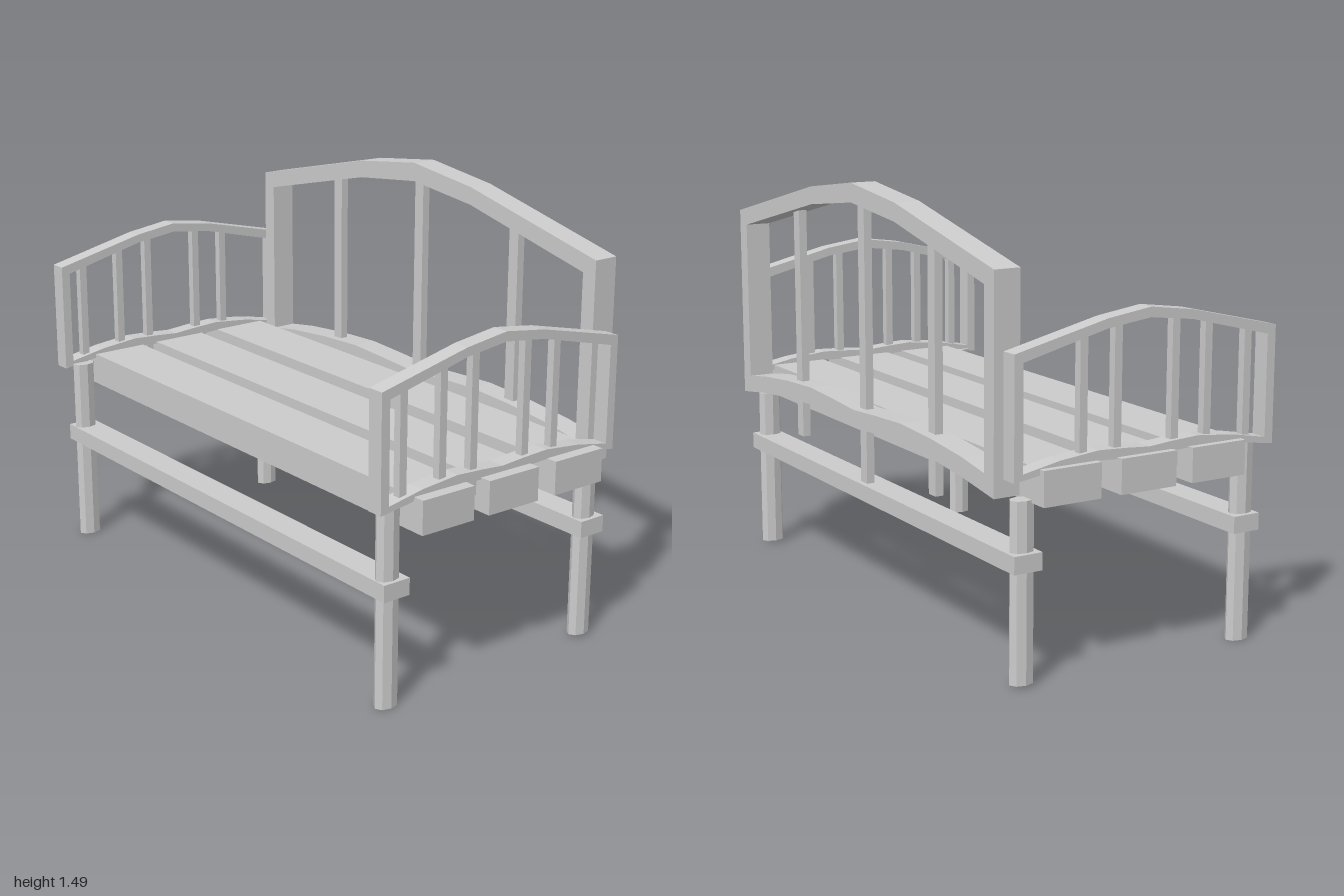
import * as THREE from 'three';

const material = new THREE.MeshStandardMaterial({ color: 0xcccccc, flatShading: true });

function add(parent, name, geometry, x = 0, y = 0, z = 0) {
  const mesh = new THREE.Mesh(geometry, material);
  mesh.name = name;
  mesh.position.set(x, y, z);
  parent.add(mesh);
}

// Box given by its limits on each axis
function box(parent, name, [x0, x1], [y0, y1], [z0, z1]) {
  add(parent, name, new THREE.BoxGeometry(x1 - x0, y1 - y0, z1 - z0),
    (x0 + x1) / 2, (y0 + y1) / 2, (z0 + z1) / 2);
}

// Half profiles [offset, y] run from the centre outwards; mirror them into a
// closed counter-clockwise outline, so that holes get inward-facing walls
function outline(top, bottom) {
  const right = [...bottom, ...top.slice().reverse()];
  const left = right.slice(1, -1).reverse().map(([x, y]) => [-x, y]);
  return [...right, ...left].map(([x, y]) => new THREE.Vector2(x, y));
}

// Arched frame with a wavy lower rail, centred on its depth
function frameGeometry(outer, inner, depth) {
  const shape = new THREE.Shape(outline(...outer));
  shape.holes.push(new THREE.Path(outline(...inner)));
  return new THREE.ExtrudeGeometry(shape, { depth, bevelEnabled: false }).translate(0, 0, -depth / 2);
}

export function createModel() {
  const bench = new THREE.Group();
  bench.name = 'bench';

  // Seat planks
  for (const z of [0.275, 0.002, -0.283]) {
    box(bench, 'seatPlank', [-1, 1], [0.59, 0.705], [z - 0.105, z + 0.105]);
  }

  // Octagonal legs, slightly deeper than wide
  for (const x of [-0.908, 0.907]) {
    for (const [name, z, y0, y1] of [['frontLeg', 0.441, 0, 0.685], ['rearLeg', -0.408, 0.01, 0.6]]) {
      const leg = new THREE.CylinderGeometry(1, 1, y1 - y0, 8).scale(0.03, 1, 0.043);
      add(bench, name, leg, x, (y0 + y1) / 2, z);
    }
  }

  // Long stretchers front and rear
  for (const z of [0.435, -0.411]) {
    box(bench, 'stretcher', [-0.952, 0.949], [0.378, 0.436], [z - 0.051, z + 0.051]);
  }

  // Backrest frame
  const back = frameGeometry(
    [
      [[0, 1.488], [0.3, 1.45], [0.908, 1.31]],
      [[0, 0.655], [0.16, 0.662], [0.33, 0.671], [0.52, 0.661], [0.72, 0.642], [0.908, 0.615]],
    ],
    [
      [[0, 1.422], [0.3, 1.388], [0.852, 1.26]],
      [[0, 0.715], [0.16, 0.725], [0.33, 0.733], [0.52, 0.724], [0.72, 0.705], [0.852, 0.684]],
    ],
    0.092);
  add(bench, 'backrestFrame', back, -0.006, 0, -0.466);

  // Backrest slats, running down past the lower rail
  for (const [x, y0, y1] of [[-0.48, 0.521, 1.36], [-0.008, 0.456, 1.435], [0.488, 0.521, 1.36]]) {
    box(bench, 'backrestSlat', [x - 0.022, x + 0.022], [y0, y1], [-0.477, -0.448]);
  }

  // Armrests: shape x becomes model z
  const arm = frameGeometry(
    [
      [[0, 1.164], [0.16, 1.142], [0.495, 1.064]],
      [[0, 0.692], [0.09, 0.698], [0.19, 0.703], [0.33, 0.696], [0.495, 0.672]],
    ],
    [
      [[0, 1.131], [0.16, 1.111], [0.463, 1.036]],
      [[0, 0.724], [0.09, 0.731], [0.19, 0.736], [0.33, 0.722], [0.463, 0.697]],
    ],
    0.06).rotateY(-Math.PI / 2);

  // Arm slats as [z, bottom, top]; one on each side runs past the lower rail
  const armSlats = [
    [0.412, 0.69, 1.06], [0.254, 0.71, 1.1], [0.126, 0.643, 1.125], [-0.093, 0.71, 1.125], [-0.22, 0.71, 1.1],
  ];
  for (const [side, x] of [['left', 0.929], ['right', -0.946]]) {
    add(bench, side + 'ArmFrame', arm, x, 0, 0.016);
    for (const [z, y0, y1] of armSlats) {
      box(bench, side + 'ArmSlat', [x - 0.014, x + 0.014], [y0, y1], [z - 0.014, z + 0.014]);
    }
  }

  return bench;
}
